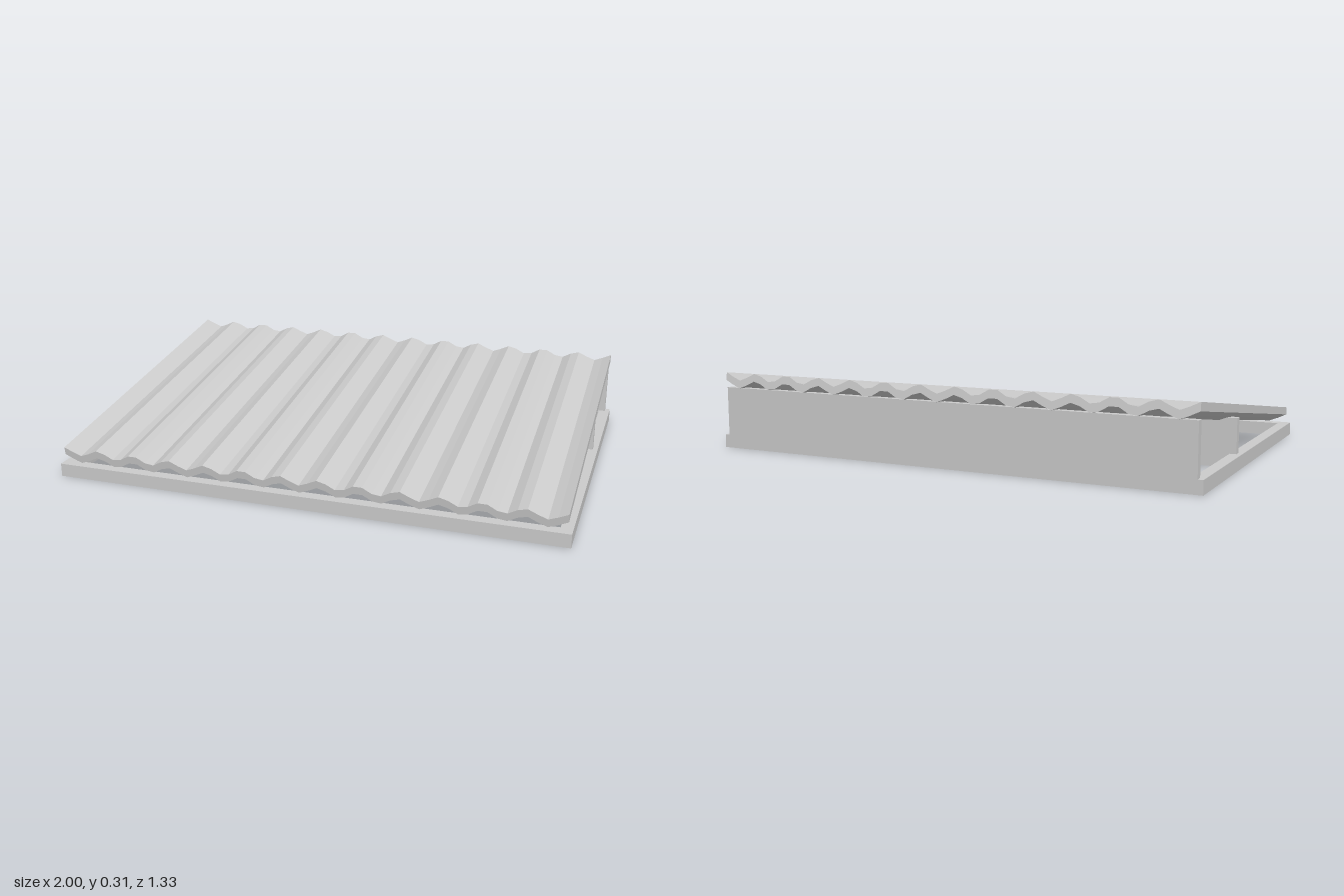
import * as THREE from 'three';

const material = new THREE.MeshStandardMaterial({ color: 0xcccccc, flatShading: true });

// Box given by its extents along each axis
function bar(name, [x0, x1], [y0, y1], [z0, z1]) {
  const mesh = new THREE.Mesh(new THREE.BoxGeometry(x1 - x0, y1 - y0, z1 - z0), material);
  mesh.position.set((x0 + x1) / 2, (y0 + y1) / 2, (z0 + z1) / 2);
  mesh.name = name;
  return mesh;
}

// Corrugated sheet: a faceted wave of constant thickness, extruded along the slope
function corrugatedSheet() {
  const width = 1.97, length = 1.328, segments = 56, period = 0.1524;
  const amplitude = 0.0155, halfThickness = 0.0155;
  const top = [], bottom = [];
  for (let i = 0; i <= segments; i++) {
    const x = (i / segments - 0.5) * width;
    const y = -amplitude * Math.cos((2 * Math.PI * x) / period);
    top.push(new THREE.Vector2(x, y + halfThickness));
    bottom.push(new THREE.Vector2(x, y - halfThickness));
  }
  const shape = new THREE.Shape([...bottom, ...top.reverse()]);
  const geometry = new THREE.ExtrudeGeometry(shape, { depth: length, bevelEnabled: false });
  geometry.translate(0, 0, -length / 2);
  const mesh = new THREE.Mesh(geometry, material);
  mesh.name = 'corrugatedSheet';
  mesh.position.set(0, 0.183, -0.006);
  mesh.rotation.x = Math.atan(0.143);
  return mesh;
}

export function createModel() {
  const model = new THREE.Group();
  model.name = 'corrugatedRoof';

  // Rectangular base frame
  const height = [0, 0.052], w = 0.045, front = 0.667, back = -0.663;
  const frame = new THREE.Group();
  frame.name = 'baseFrame';
  frame.add(
    bar('frontRail', [-1, 1], height, [front - w, front]),
    bar('backRail', [-1, 1], height, [back, back + w]),
    bar('rightRail', [-1, -1 + w], height, [back + w, front - w]),
    bar('leftRail', [1 - w, 1], height, [back + w, front - w]),
  );

  // Upright boards carrying the slope
  model.add(
    frame,
    bar('middleSupport', [-0.98, 0.98], [0, 0.186], [-0.172, -0.143]),
    bar('backSupport', [-0.98, 0.98], [0, 0.247], [back, -0.634]),
    corrugatedSheet(),
  );
  return model;
}
